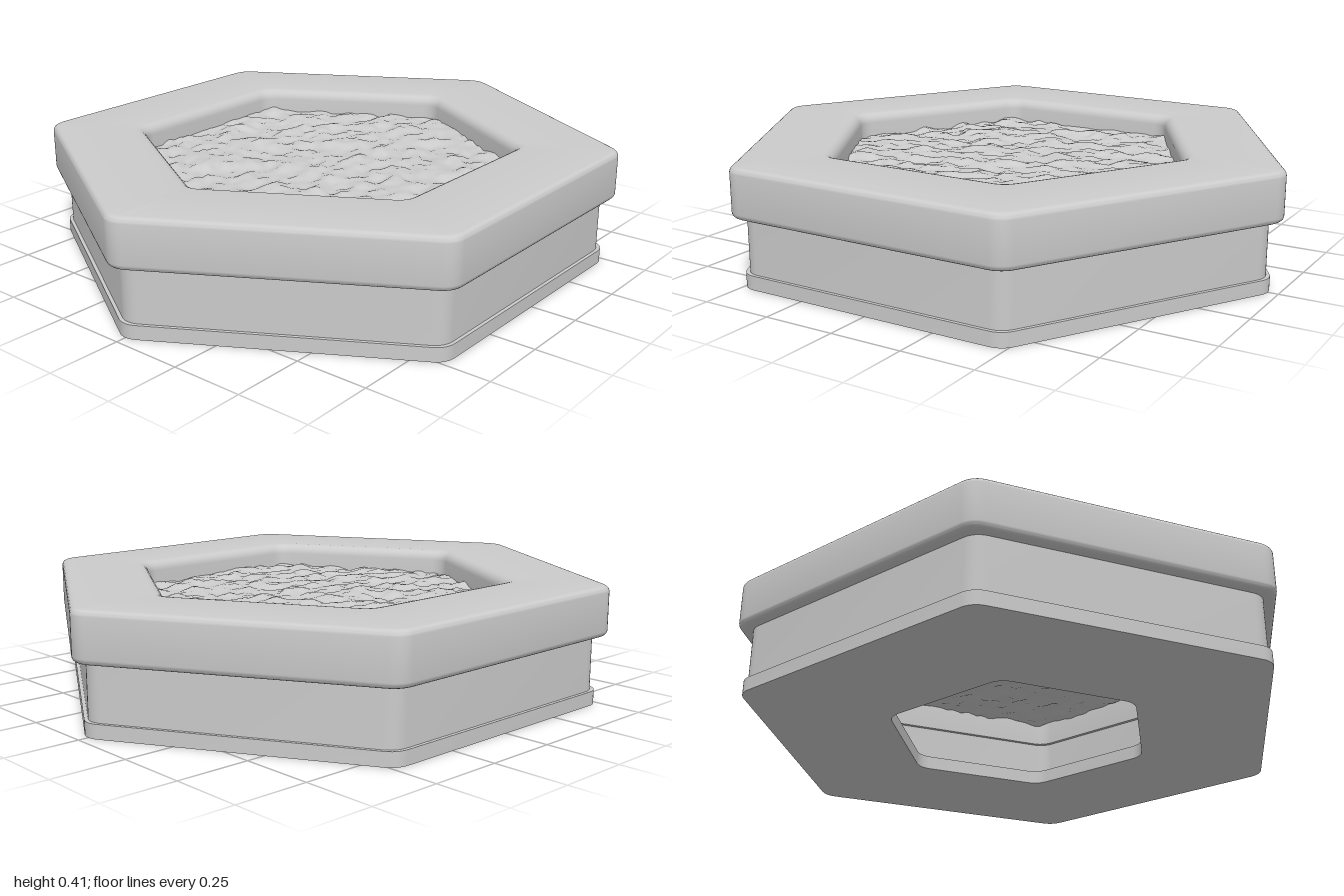
import * as THREE from 'three';
import { toCreasedNormals } from 'three/addons/utils/BufferGeometryUtils.js';

const CORNER = 0.07; // plan radius of the hexagon corners
const material = new THREE.MeshStandardMaterial({ color: 0xcccccc });

// Rounded hexagon in plan: points [x, z] at a given apothem
function hexLoop(apothem, steps = 6) {
  const points = [];
  const centre = (apothem - CORNER) / Math.cos(Math.PI / 6);
  for (let i = 0; i < 6; i++) {
    const c = (i * Math.PI) / 3;
    for (let j = 0; j <= steps; j++) {
      const t = c - Math.PI / 6 + (j / steps) * (Math.PI / 3);
      points.push([
        centre * Math.cos(c) + CORNER * Math.cos(t),
        centre * Math.sin(c) + CORNER * Math.sin(t),
      ]);
    }
  }
  return points;
}

// Sweep a closed [apothem, y] section (counter-clockwise) round the hexagon
function hexRing(name, section) {
  const positions = [];
  const index = [];
  const n = hexLoop(1).length;
  section.forEach(([a, y], s) => {
    const next = (s + 1) % section.length;
    hexLoop(a).forEach(([x, z], k) => {
      positions.push(x, y, z);
      const k1 = (k + 1) % n;
      const p = s * n + k, q = s * n + k1, u = next * n + k, v = next * n + k1;
      index.push(p, u, q, u, v, q);
    });
  });
  const geometry = new THREE.BufferGeometry();
  geometry.setAttribute('position', new THREE.Float32BufferAttribute(positions, 3));
  geometry.setIndex(index);
  const mesh = new THREE.Mesh(toCreasedNormals(geometry, 0.6), material);
  mesh.name = name;
  return mesh;
}

// Quarter-round of a section, from angle `start` (degrees)
function fillet(a, y, r, start, steps = 5) {
  return Array.from({ length: steps + 1 }, (_, i) => {
    const t = THREE.MathUtils.degToRad(start + (90 * i) / steps);
    return [a + r * Math.cos(t), y + r * Math.sin(t)];
  });
}

// Repeatable smooth value noise
function hash(i, j) {
  const h = Math.sin(i * 127.1 + j * 311.7) * 43758.5453;
  return h - Math.floor(h);
}
function noise(x, z) {
  const i = Math.floor(x), j = Math.floor(z);
  const u = THREE.MathUtils.smoothstep(x - i, 0, 1);
  const v = THREE.MathUtils.smoothstep(z - j, 0, 1);
  const near = THREE.MathUtils.lerp(hash(i, j), hash(i + 1, j), u);
  const far = THREE.MathUtils.lerp(hash(i, j + 1), hash(i + 1, j + 1), u);
  return THREE.MathUtils.lerp(near, far, v) - 0.5;
}

// Bumpy hexagonal sheet; its edge is buried in the lid
function roughSurface() {
  const apothem = 0.585;
  const geometry = new THREE.PlaneGeometry(2, 2, 90, 80).rotateX(-Math.PI / 2);
  const p = geometry.attributes.position;
  for (let i = 0; i < p.count; i++) {
    const z = p.getZ(i) * apothem;
    const x = p.getX(i) * ((2 * apothem - Math.abs(z)) / Math.sqrt(3));
    const bump = 0.02 * noise(x * 15 + 40, z * 22 + 40) + 0.012 * noise(x * 32 + 90, z * 38 + 90);
    p.setXYZ(i, x, 0.325 + bump, z);
  }
  geometry.computeVertexNormals();
  const sheetMaterial = material.clone();
  sheetMaterial.side = THREE.DoubleSide;
  const mesh = new THREE.Mesh(geometry, sheetMaterial);
  mesh.name = 'roughSurface';
  return mesh;
}

export function createModel() {
  const group = new THREE.Group();
  group.name = 'hexagonalPlinth';

  // Thin foot plate with a smaller hole
  group.add(hexRing('footPlate', [[0.412, 0], [0.845, 0], [0.845, 0.048], [0.412, 0.048]]));

  // Recessed wall
  group.add(hexRing('wall', [[0.585, 0.045], [0.833, 0.045], [0.833, 0.24], [0.585, 0.24]]));

  // Overhanging rounded lid with a soft inner lip
  group.add(hexRing('lid', [
    [0.572, 0.235],
    ...fillet(0.855, 0.255, 0.02, -90),
    ...fillet(0.855, 0.385, 0.02, 0),
    ...fillet(0.607, 0.37, 0.035, 90),
  ]));

  group.add(roughSurface());
  return group;
}
